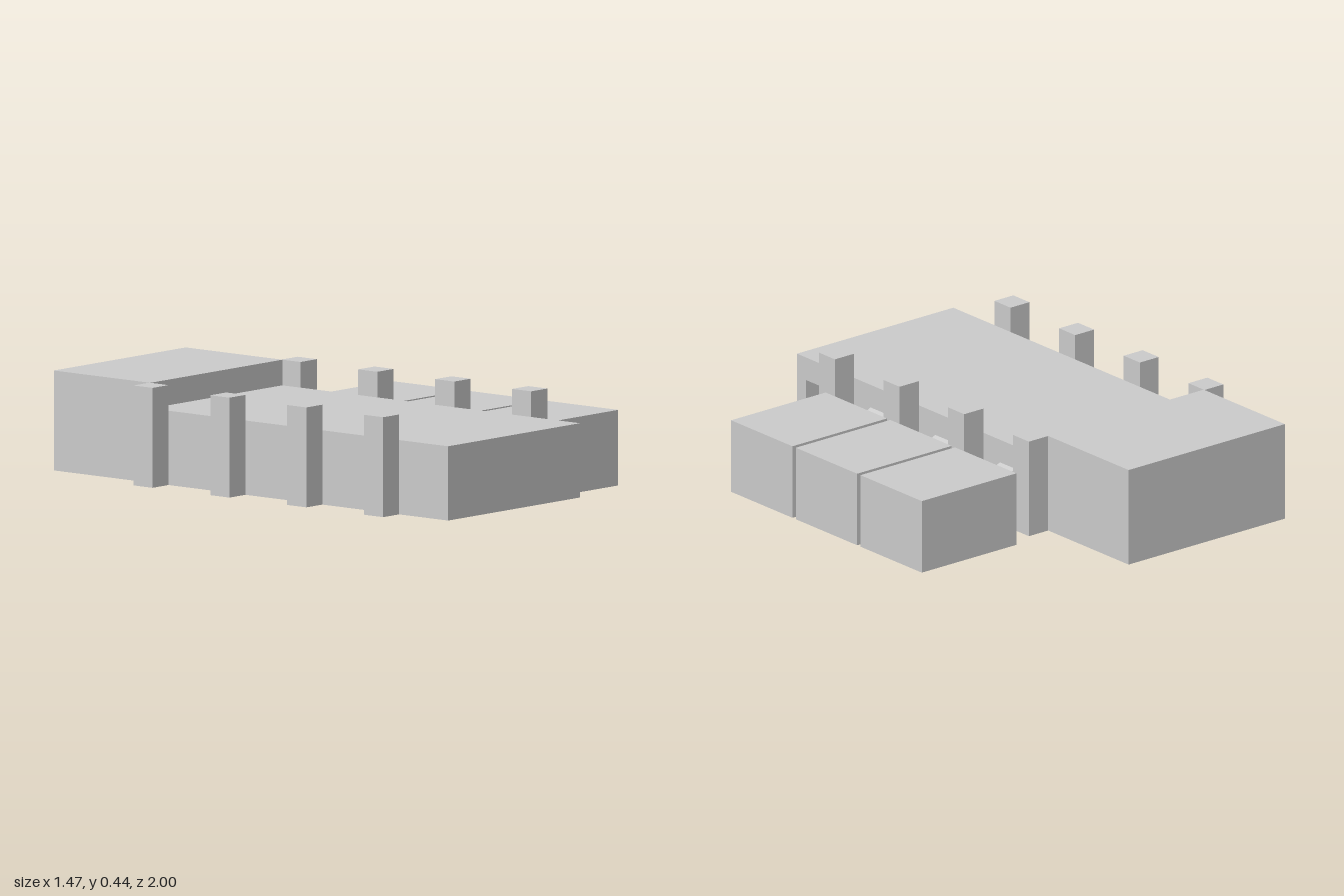
import * as THREE from 'three';

const material = new THREE.MeshStandardMaterial({ color: 0xcccccc, flatShading: true });
const shellMaterial = new THREE.MeshStandardMaterial({ color: 0xcccccc, flatShading: true, side: THREE.DoubleSide });

// Main hall extents and its stepped side profile as (z, y), counter-clockwise
const X0 = -0.64, X1 = 0.145, BASE = 0.05;
const PROFILE = [[-1, BASE], [1, BASE], [1, 0.34], [-0.51, 0.34], [-0.51, 0.44], [-1, 0.44]];

function addMesh(parent, name, geometry, mat = material) {
  const mesh = new THREE.Mesh(geometry, mat);
  mesh.name = name;
  parent.add(mesh);
  return mesh;
}

// Box given by its minimum and maximum along each axis
function addBox(parent, name, [x0, x1], [y0, y1], [z0, z1]) {
  addMesh(parent, name, new THREE.BoxGeometry(x1 - x0, y1 - y0, z1 - z0))
    .position.set((x0 + x1) / 2, (y0 + y1) / 2, (z0 + z1) / 2);
}

// Side wall of the hall; side is -1 or +1 along x
function sideWall(side, doorway) {
  const toPoints = list => list.map(([z, y]) => new THREE.Vector2(-side * z, y));
  const shape = new THREE.Shape(toPoints(PROFILE));
  if (doorway) shape.holes.push(new THREE.Path(toPoints(doorway)));
  return new THREE.ShapeGeometry(shape)
    .rotateY(side * Math.PI / 2)
    .translate(side < 0 ? X0 : X1, 0, 0);
}

// Floor, end walls, roofs and roof step: one quad per profile edge
function hallWrap() {
  const positions = [];
  PROFILE.forEach(([za, ya], i) => {
    const [zb, yb] = PROFILE[(i + 1) % PROFILE.length];
    positions.push(X0, ya, za, X1, ya, za, X1, yb, zb);
    positions.push(X0, ya, za, X1, yb, zb, X0, yb, zb);
  });
  const geometry = new THREE.BufferGeometry();
  geometry.setAttribute('position', new THREE.Float32BufferAttribute(positions, 3));
  geometry.computeVertexNormals();
  return geometry;
}

// Passage that slopes down from the hall to a module
function passage() {
  const shape = new THREE.Shape([
    new THREE.Vector2(X1, BASE), new THREE.Vector2(0.255, 0),
    new THREE.Vector2(0.255, 0.197), new THREE.Vector2(X1, 0.247),
  ]);
  return new THREE.ExtrudeGeometry(shape, { depth: 0.095, bevelEnabled: false });
}

export function createModel() {
  const model = new THREE.Group();
  model.name = 'building';

  // Hollow hall with a doorway near the front of its left side
  const hall = new THREE.Group();
  hall.name = 'mainHall';
  model.add(hall);
  const doorway = [[0.845, BASE + 0.001], [0.945, BASE + 0.001], [0.945, 0.247], [0.845, 0.247]];
  addMesh(hall, 'roofFloorAndEnds', hallWrap(), shellMaterial);
  addMesh(hall, 'rightWall', sideWall(-1), shellMaterial);
  addMesh(hall, 'doorWall', sideWall(1, doorway), shellMaterial);

  // Buttress pillars along both sides
  for (let i = 0; i < 4; i++) {
    const z = -0.515 + i * 0.39;
    addBox(model, 'rightPillar', [X0 - 0.095, X0], [BASE, 0.44], [z, z + 0.097]);
    addBox(model, 'leftPillar', [X1, X1 + 0.097], [BASE, 0.44], [z, z + 0.097]);
  }

  // Side modules, each with its passage
  for (let i = 0; i < 3; i++) {
    const z = -0.455 + i * 0.39;
    addBox(model, 'sideModule', [0.255, 0.73], [0, 0.295], [z, z + 0.37]);
    addMesh(model, 'passage', passage()).position.z = z + 0.136;
  }
  return model;
}
